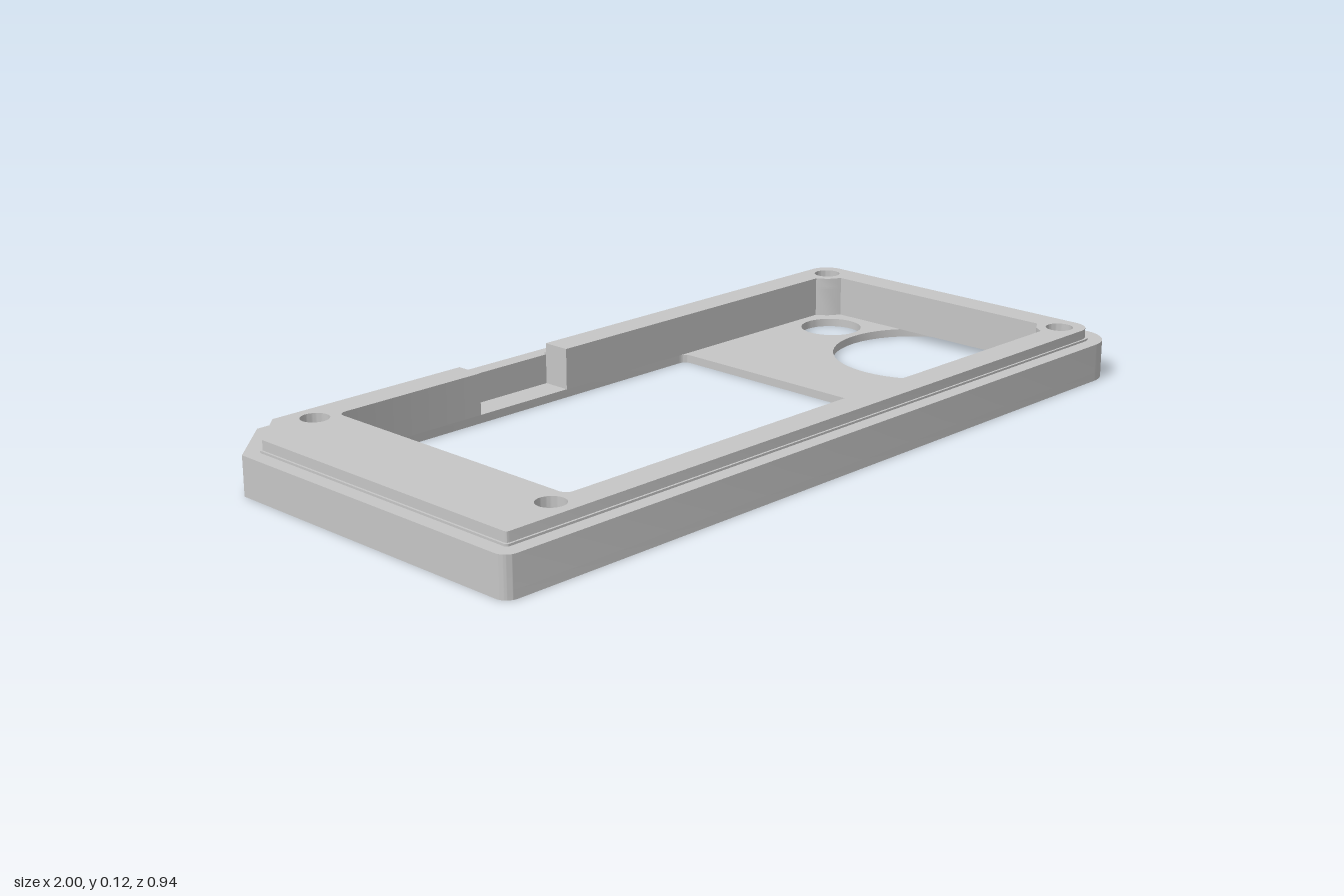
import * as THREE from 'three';
import { toCreasedNormals } from 'three/addons/utils/BufferGeometryUtils.js';

// Closed outline from [x, z, cornerRadius] points (radius is exact on square corners).
// Shapes are listed counter-clockwise as seen from above.
function outline(points, PathType = THREE.Shape) {
  const path = new PathType();
  const n = points.length;
  const k = 0.5523;
  points.forEach(([x, z, r = 0], i) => {
    const p = new THREE.Vector2(x, -z);
    const toward = ([qx, qz]) => new THREE.Vector2(qx, -qz).sub(p).normalize().multiplyScalar(r);
    const a = toward(points[(i + n - 1) % n]);
    const b = toward(points[(i + 1) % n]);
    const start = p.clone().add(a);
    if (i === 0) path.moveTo(start.x, start.y);
    else path.lineTo(start.x, start.y);
    if (r > 0) {
      const c1 = p.clone().addScaledVector(a, 1 - k);
      const c2 = p.clone().addScaledVector(b, 1 - k);
      path.bezierCurveTo(c1.x, c1.y, c2.x, c2.y, p.x + b.x, p.y + b.y);
    }
  });
  path.closePath();
  return path;
}

function circle(x, z, r) {
  return new THREE.Path().absarc(x, -z, r, 0, Math.PI * 2, true);
}

export function createModel() {
  const group = new THREE.Group();
  group.name = 'enclosureFrame';
  const grey = new THREE.MeshStandardMaterial({ color: 0xc6c6c6 });
  grey.name = 'grey plastic';

  const FLOOR = 0.02, RIM = 0.092, FOOT = 0.097, TOP = 0.12;
  const inZ = 0.361, lipZ = 0.432, left = -0.741, windowRight = 0.34;
  const notchL = -0.335, notchR = -0.065;

  // Horizontal slab between two heights
  function slab(name, shape, holes, y0, y1) {
    shape.holes.push(...holes);
    const geo = new THREE.ExtrudeGeometry(shape, { depth: y1 - y0, bevelEnabled: false, curveSegments: 24 });
    geo.rotateX(-Math.PI / 2);
    geo.translate(0, y0, 0);
    const mesh = new THREE.Mesh(toCreasedNormals(geo, 0.5), grey);
    mesh.name = name;
    group.add(mesh);
  }

  const screwHoles = () => [[-0.793, -0.374], [-0.793, 0.374], [0.899, -0.374], [0.899, 0.374]]
    .map(([x, z]) => circle(x, z, 0.033));

  const body = () => outline([
    [-1, -0.352], [-1, 0.472, 0.03], [1, 0.472, 0.085], [1, -0.472, 0.085], [-0.875, -0.472],
  ]);

  // Cavity edge from the notch's right side, round the pocket, to its left side
  const cavity = [
    [notchR, -inZ], [0.84, -inZ], [0.857, -0.335], [0.888, -0.316],
    [0.888, 0.316], [0.857, 0.335], [0.84, inZ],
    [left, inZ, 0.02], [left, -inZ, 0.02], [notchL, -inZ],
  ];

  // Lip outline, open at the notch and grown outward by g
  function lip(g) {
    const x = 0.96 + g, z = lipZ + g;
    return outline([
      [notchL, -z], [-0.862 - g * 0.4, -z], [-x, -0.334 - g * 0.4], [-x, z, 0.008],
      [x, z, 0.05], [x, -z, 0.05], [notchR, -z], ...cavity,
    ]);
  }

  // Bottom plate with the large window and two round openings
  slab('bottomPlate', body(), [
    outline([[left, -inZ, 0.02], [windowRight, -inZ, 0.02], [windowRight, inZ, 0.02], [left, inZ, 0.02]], THREE.Path),
    circle(0.754, 0.062, 0.22),
    circle(0.78, -0.256, 0.077),
    ...screwHoles(),
  ], 0, FLOOR);

  // Side walls around the pocket, with the notch cut into the back
  slab('sideWalls', body(), [
    outline([...cavity, [notchL, -lipZ], [notchR, -lipZ]], THREE.Path),
    ...screwHoles(),
  ], FLOOR, RIM);

  // Raised lip on a slightly wider foot
  slab('lipFoot', lip(0.005), screwHoles(), RIM, FOOT);
  slab('raisedLip', lip(0), screwHoles(), FOOT, TOP);

  return group;
}
